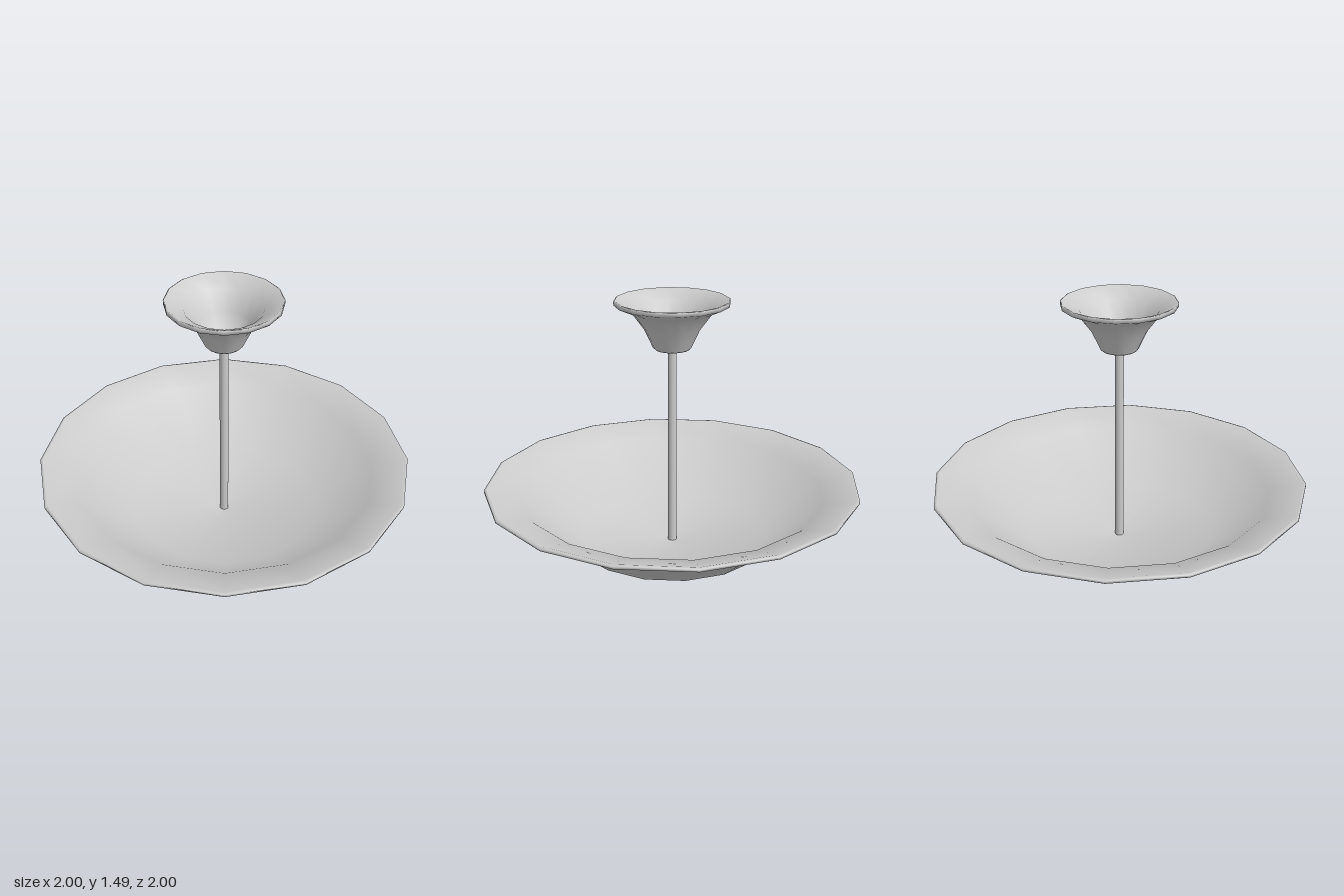
import * as THREE from 'three';

const SIDES = 16;
const material = new THREE.MeshStandardMaterial({ color: 0xcccccc, side: THREE.DoubleSide });

// Revolve a [radius, height] profile, listed from the bottom outwards and up
function turned(name, profile) {
  const points = profile.map(([r, y]) => new THREE.Vector2(r, y));
  const mesh = new THREE.Mesh(new THREE.LatheGeometry(points, SIDES), material);
  mesh.name = name;
  return mesh;
}

export function createModel() {
  const group = new THREE.Group();
  group.name = 'pendantLamp';

  // Small turned knob under the bowl
  group.add(turned('finial', [
    [0, 0], [0.016, 0], [0.022, 0.015], [0.045, 0.045], [0.07, 0.06], [0.072, 0.07], [0, 0.07],
  ]));

  // Wide shade: outer wall, flared rim, then the steep inner wall and shallow floor
  group.add(turned('bowl', [
    [0, 0.058], [0.07, 0.07], [0.42, 0.136], [0.53, 0.18], [0.83, 0.432],
    [1, 0.483], [1, 0.496], [0.985, 0.5], [0.81, 0.445], [0.5, 0.2], [0, 0.15],
  ]));

  // Rod from the bowl floor up into the canopy
  const rodBottom = 0.15, rodTop = 1.26;
  const rod = new THREE.Mesh(
    new THREE.CylinderGeometry(0.023, 0.023, rodTop - rodBottom, SIDES), material);
  rod.name = 'rod';
  rod.position.y = (rodBottom + rodTop) / 2;
  group.add(rod);

  // Ceiling canopy: a flared cup with a thin wall
  group.add(turned('canopy', [
    [0, 1.233], [0.09, 1.233], [0.1, 1.243], [0.145, 1.34], [0.21, 1.428],
    [0.297, 1.467], [0.297, 1.486], [0.29, 1.49], [0.2, 1.44], [0.135, 1.345],
    [0.09, 1.25], [0, 1.25],
  ]));

  return group;
}
